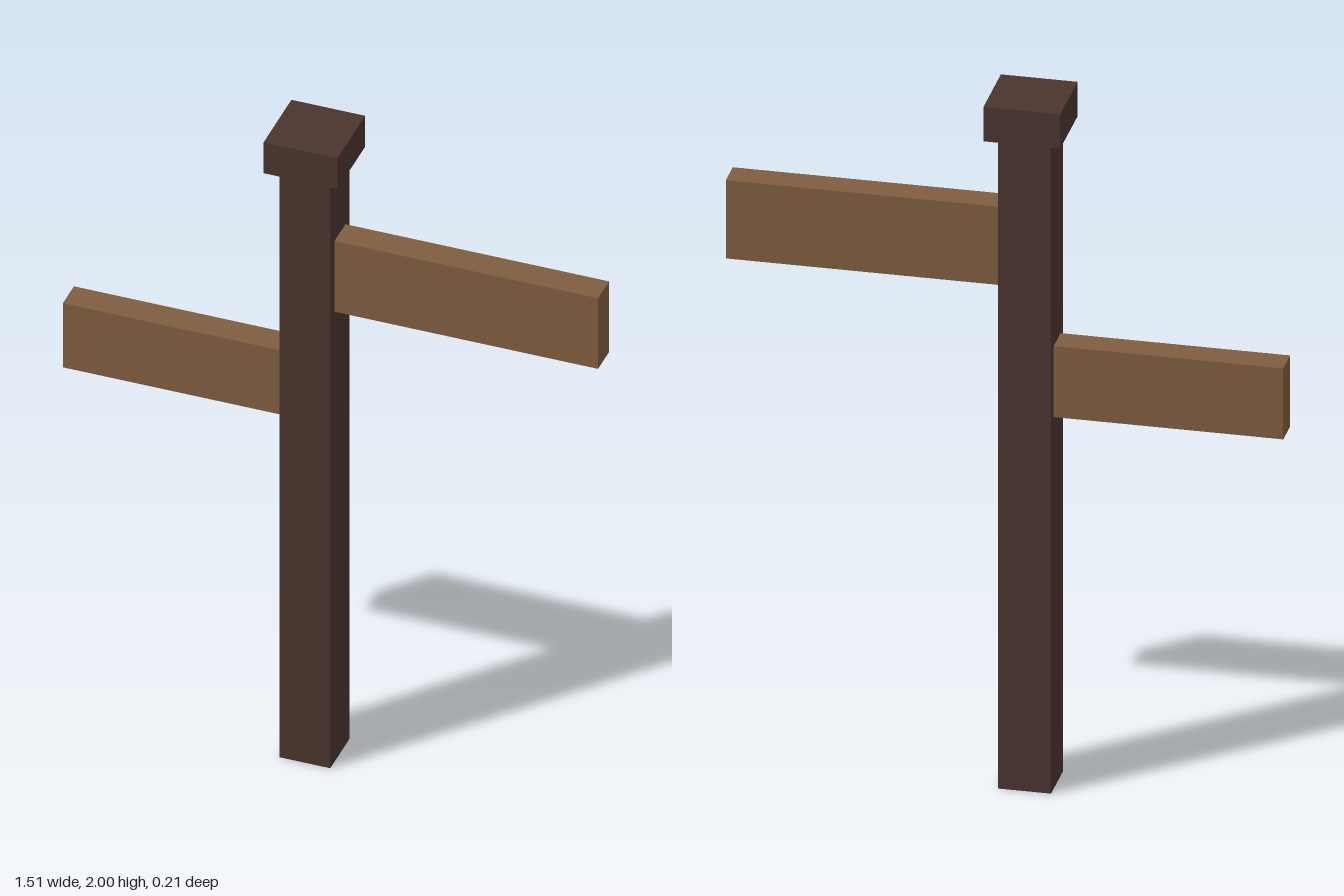
import * as THREE from 'three';

export function createModel() {
  const model = new THREE.Group();
  model.name = 'signpost';

  const darkWood = new THREE.MeshStandardMaterial({ color: 0x4a342d });
  darkWood.name = 'dark wood';
  const lightWood = new THREE.MeshStandardMaterial({ color: 0x7f5d41 });
  lightWood.name = 'light wood';

  // Box given by its x and y extents and its depth, centred on z = 0
  const addBox = (name, material, [x0, x1], [y0, y1], depth) => {
    const mesh = new THREE.Mesh(new THREE.BoxGeometry(x1 - x0, y1 - y0, depth), material);
    mesh.name = name;
    mesh.position.set((x0 + x1) / 2, (y0 + y1) / 2, 0);
    model.add(mesh);
  };

  // Post and its square cap
  const postX = -0.061;
  addBox('post', darkWood, [postX - 0.072, postX + 0.072], [0, 1.9], 0.144);
  addBox('postCap', darkWood, [postX - 0.104, postX + 0.104], [1.9, 2], 0.208);

  // Direction boards, one on each side, set into the post
  addBox('upperBoard', lightWood, [postX, 0.755], [1.455, 1.683], 0.083);
  addBox('lowerBoard', lightWood, [-0.755, postX], [1.085, 1.292], 0.083);

  return model;
}
